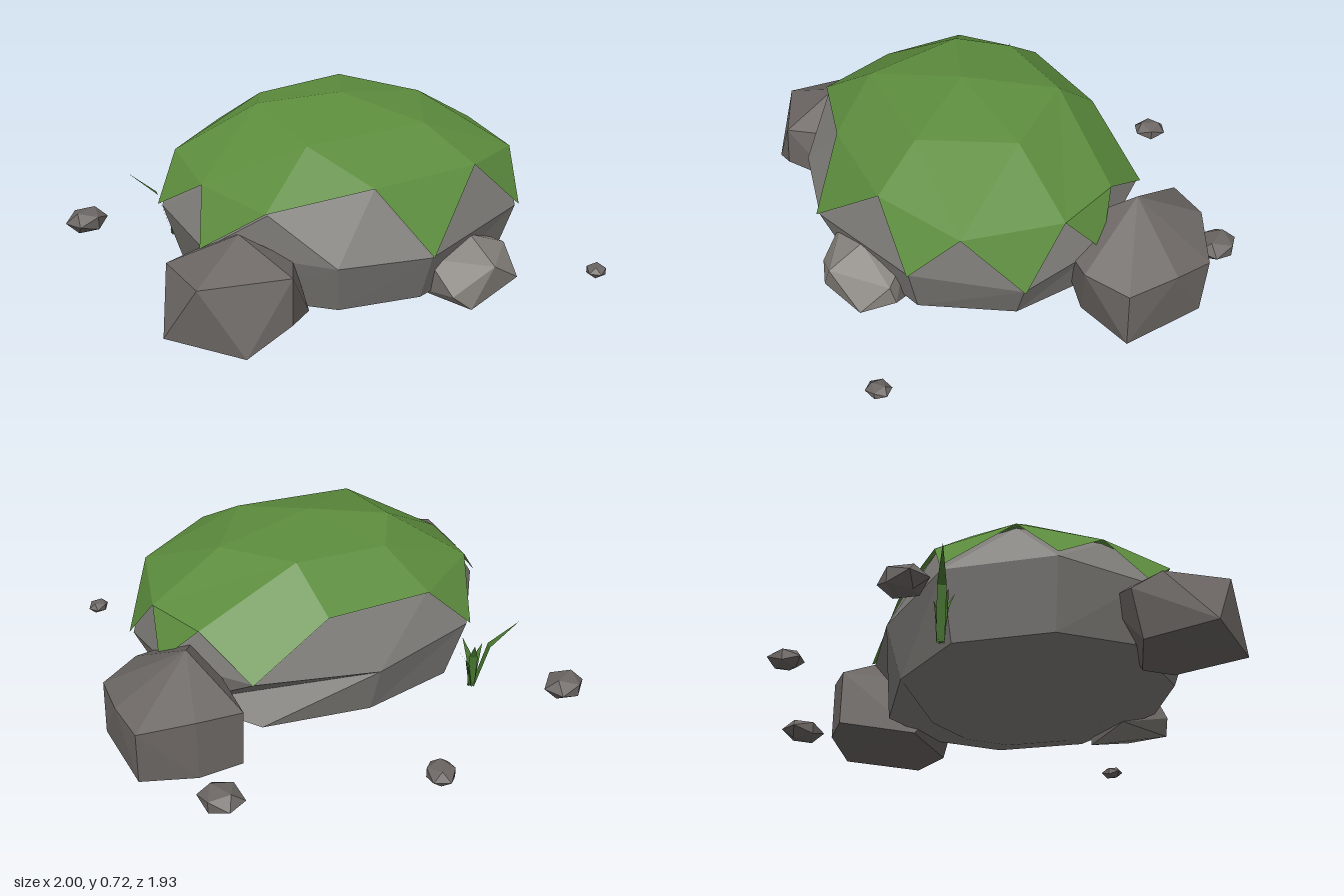
import * as THREE from 'three';
import { ConvexGeometry } from 'three/addons/geometries/ConvexGeometry.js';

const paint = (name, color, side = THREE.FrontSide) => {
  const m = new THREE.MeshStandardMaterial({ color, side });
  m.name = name;
  return m;
};

// Faceted geometry from a list of triangles, each three [x, y, z] corners
function facets(triangles) {
  const g = new THREE.BufferGeometry();
  g.setAttribute('position', new THREE.Float32BufferAttribute(triangles.flat(2), 3));
  g.computeVertexNormals();
  return g;
}

const MID_Z = 0.14;

// Joins two closed loops around the boulder, matching their points by angle
function stitch(outer, inner) {
  const angle = (loop, k) => {
    const p = loop[k % loop.length];
    let a = Math.atan2(p[2] - MID_Z, p[0]);
    if (a < -0.3) a += Math.PI * 2;
    return a + (k >= loop.length ? Math.PI * 2 : 0);
  };
  const at = (loop, k) => loop[k % loop.length];
  const tris = [];
  let i = 0, j = 0;
  while (i < outer.length || j < inner.length) {
    const stepOuter = j >= inner.length ||
      (i < outer.length && angle(outer, i + 1) <= angle(inner, j + 1));
    if (stepOuter) tris.push([at(outer, i), at(inner, j), at(outer, ++i)]);
    else tris.push([at(outer, i), at(inner, j), at(inner, ++j)]);
  }
  return tris;
}

export function createModel() {
  const model = new THREE.Group();
  const stone = paint('boulder grey', 0x7f7d79);
  const darkStone = paint('side stone grey', 0x6b6663);
  const paleStone = paint('front stone grey', 0x87837e);
  const moss = paint('moss green', 0x5c8c3d, THREE.DoubleSide);
  const grass = paint('grass green', 0x4a7a30, THREE.DoubleSide);

  const add = (name, geometry, material, parent = model) => {
    const mesh = new THREE.Mesh(geometry, material);
    mesh.name = name;
    parent.add(mesh);
    return mesh;
  };

  // Boulder loops: crown, moss rim peaks, moss rim dips, underside
  const apex = [-0.02, 0.72, 0.14];
  const crown = [[0.4, 0.65, 0.12], [0.17, 0.64, 0.45], [-0.35, 0.63, 0.4],
    [-0.33, 0.69, 0.0], [-0.2, 0.66, -0.2], [0.2, 0.68, -0.19]];
  const peaks = [[0.71, 0.47, 0.1], [0.6, 0.47, 0.49], [0.26, 0.51, 0.66],
    [-0.2, 0.5, 0.63], [-0.6, 0.45, 0.51], [-0.68, 0.47, 0.17], [-0.62, 0.5, -0.17],
    [-0.3, 0.51, -0.39], [0.16, 0.52, -0.39], [0.62, 0.47, -0.17]];
  const dips = [[0.76, 0.24, 0.3], [0.5, 0.29, 0.67], [-0.05, 0.25, 0.81],
    [-0.42, 0.26, 0.71], [-0.77, 0.28, 0.31], [-0.76, 0.33, -0.06], [-0.49, 0.33, -0.43],
    [-0.02, 0.28, -0.51], [0.5, 0.32, -0.41], [0.75, 0.3, -0.05]];
  const shrink = (s, y) => dips.map(([x, , z]) => [x * s, y, MID_Z + (z - MID_Z) * s]);
  const skirt = shrink(0.89, 0.05);
  const base = shrink(0.6, 0);

  const cap = [...stitch(peaks, crown)];
  crown.forEach((p, i) => cap.push([p, apex, crown[(i + 1) % crown.length]]));

  // Triangles between peaks and dips; two wide gaps stay bare rock
  const bareGaps = [3, 7];
  const teeth = [], bare = [];
  peaks.forEach((p, i) => {
    const n = (i + 1) % peaks.length;
    (bareGaps.includes(i) ? bare : teeth).push([dips[i], p, peaks[n]]);
    bare.push([dips[i], peaks[n], dips[n]]);
  });

  const under = [...stitch(skirt, dips), ...stitch(base, skirt)];
  base.forEach((p, i) => under.push([[0, 0, MID_Z], p, base[(i + 1) % base.length]]));

  // The rock sits just inside the moss shell
  const inset = (p) => [p[0] * 0.978, p[1] * 0.978, MID_Z + (p[2] - MID_Z) * 0.978];
  const rock = [...cap, ...teeth, ...bare, ...under].map((t) => t.map(inset));
  add('boulder', facets(rock), stone);
  add('mossCap', facets([...cap, ...teeth]), moss);

  // Stones leaning on the boulder
  const hull = (name, points, material) =>
    add(name, new ConvexGeometry(points.map((p) => new THREE.Vector3(...p))), material);

  hull('leftStone', [[0.7, 0.45, -0.24], [0.78, 0.31, -0.51], [1, 0.27, -0.23],
    [0.98, 0.25, -0.4], [0.98, 0.25, -0.02], [0.81, 0.27, 0.07], [0.59, 0.3, -0.52],
    [0.55, 0.3, 0.05], [0.99, 0.01, -0.02], [0.98, 0.01, -0.38], [0.78, 0.05, -0.51],
    [0.6, 0.06, -0.52], [0.73, 0, 0.02], [0.5, 0.02, -0.2]], darkStone);

  hull('rightStone', [[-1, 0.04, 0.45], [-0.92, 0.26, 0.57], [-0.9, 0.25, 0.29],
    [-0.82, 0.2, 0.2], [-0.68, 0.37, 0.45], [-0.61, 0.28, 0.71], [-0.51, 0.26, 0.55],
    [-0.46, 0.05, 0.58], [-0.52, 0.02, 0.4], [-0.8, 0.01, 0.7], [-0.62, 0.1, 0.72],
    [-0.8, 0.01, 0.25], [-0.6, 0.25, 0.2]], darkStone);

  hull('frontStone', [[-0.01, 0.2, 0.72], [0.2, 0.25, 0.72], [0.4, 0.16, 0.7],
    [0.2, 0.17, 0.87], [0.37, 0.06, 0.82], [0.41, 0.08, 0.68], [0.1, 0.01, 0.86],
    [0.03, 0.07, 0.83], [0.33, 0.01, 0.6], [0.1, 0.2, 0.55], [0.02, 0.02, 0.6],
    [0.3, 0.2, 0.58]], paleStone);

  // Loose pebbles: x, z, radius, half height, turn
  [[-0.83, -0.67, 0.1, 0.055, 0.4], [-0.06, -0.9, 0.077, 0.042, 1.1],
    [0.75, -0.65, 0.1, 0.05, 2.0], [0.725, 0.91, 0.053, 0.028, 0.7]]
    .forEach(([x, z, r, h, turn]) => {
      const pebble = add('pebble', new THREE.IcosahedronGeometry(1, 0), darkStone);
      pebble.scale.set(r, h, r * 0.85);
      pebble.rotation.y = turn;
      pebble.position.set(x, h, z);
    });

  // Grass tuft: bent, tapering blades
  const tuft = new THREE.Group();
  tuft.name = 'grassTuft';
  model.add(tuft);
  const root = [-0.52, 0, -0.43];
  [[-0.7, 0.31, -0.49], [-0.48, 0.25, -0.49], [-0.57, 0.2, -0.42],
    [-0.5, 0.22, -0.37], [-0.45, 0.19, -0.42]].forEach((tip) => {
    const dx = tip[0] - root[0], dz = tip[2] - root[2];
    const len = Math.hypot(dx, dz);
    const sx = -dz / len, sz = dx / len;
    const pt = (t, y, w) => [root[0] + dx * t + sx * w, y, root[2] + dz * t + sz * w];
    const [a, b] = [pt(0.05, 0, -0.015), pt(0.05, 0, 0.015)];
    const [c, d] = [pt(0.35, tip[1] * 0.65, -0.018), pt(0.35, tip[1] * 0.65, 0.018)];
    add('grassBlade', facets([[a, b, d], [a, d, c], [c, d, tip]]), grass, tuft);
  });

  return model;
}
